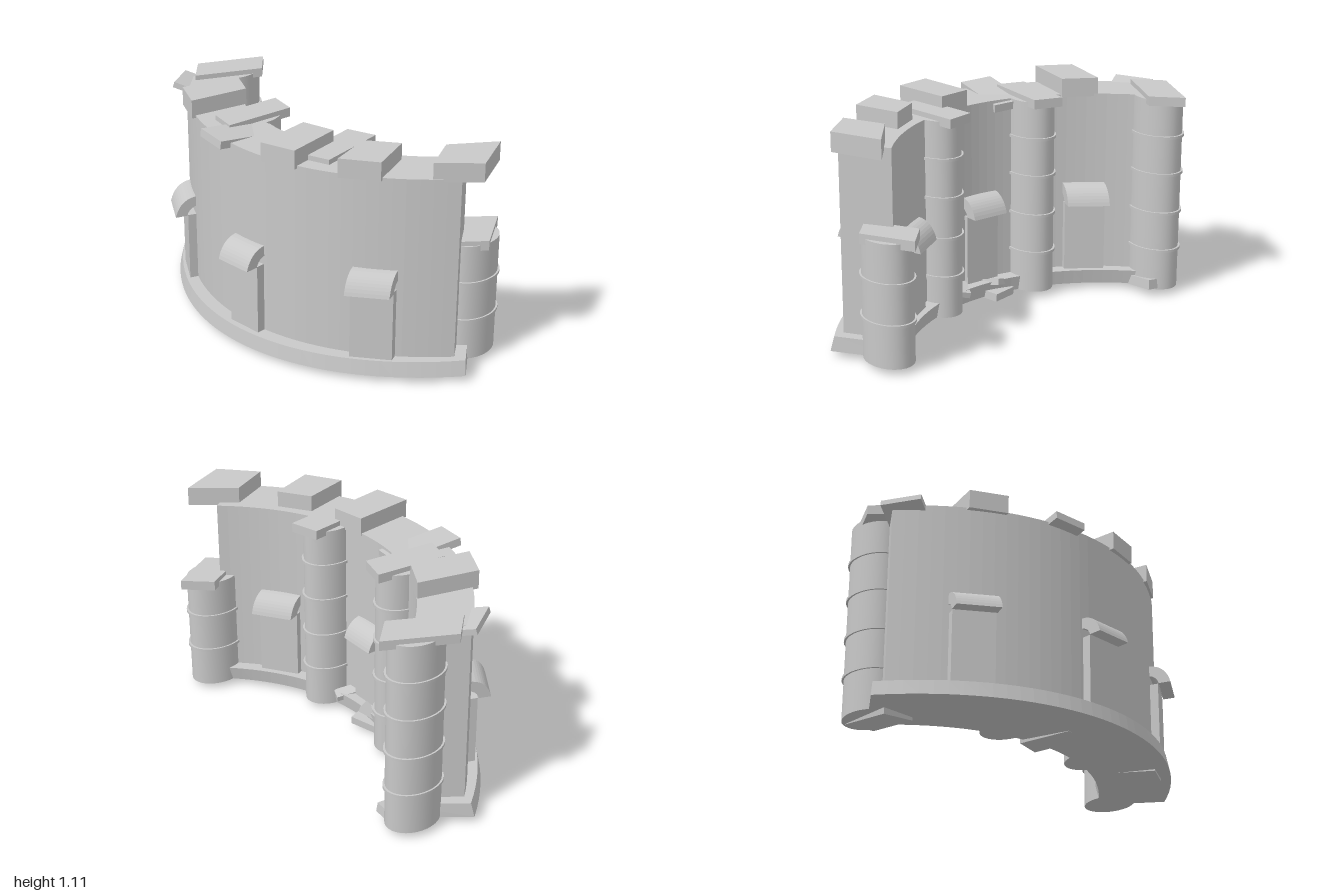
import * as THREE from 'three';

const stone = new THREE.MeshStandardMaterial({ color: 0xc8c8c8 });
stone.name = 'grey stone';

// The plan is an ellipse: every round part is this much narrower along x
const K = 0.76;

// Points of an elliptical arc through (-xEnd, zEnd), (0, zMid), (xEnd, zEnd)
function arcPoints(zMid, xEnd, zEnd, n = 36) {
  const s = zMid - zEnd;
  const c = xEnd / K;
  const r = (c * c + s * s) / (2 * s);
  const a = Math.asin(c / r);
  return Array.from({ length: n + 1 }, (_, i) => {
    const t = -a + (2 * a * i) / n;
    return [K * r * Math.sin(t), zMid - r + r * Math.cos(t)];
  });
}

// Upright prism over an outline of [x, z] points
function prism(points, y0, y1) {
  const shape = new THREE.Shape(points.map(([x, z]) => new THREE.Vector2(x, -z)));
  const geo = new THREE.ExtrudeGeometry(shape, { depth: y1 - y0, bevelEnabled: false });
  return geo.rotateX(-Math.PI / 2).translate(0, y0, 0);
}

function ring(outer, inner, y0, y1) {
  return prism([...arcPoints(...outer), ...arcPoints(...inner).reverse()], y0, y1);
}

function add(parent, name, geo) {
  const mesh = new THREE.Mesh(geo, stone);
  mesh.name = name;
  parent.add(mesh);
  return mesh;
}

// Raised door panel with a curved hood, turned to the wall and narrowed along x
function makeDoor(name, x, z, angle) {
  const door = new THREE.Group();
  add(door, 'doorPanel', new THREE.BoxGeometry(0.25, 0.375, 0.08).translate(0, 0.2775, 0));
  const s = new THREE.Shape();
  s.moveTo(0.11, 0.465);
  s.quadraticCurveTo(0.085, 0.56, -0.01, 0.565);
  s.lineTo(-0.04, 0.565);
  s.lineTo(-0.04, 0.51);
  s.lineTo(0, 0.51);
  s.quadraticCurveTo(0.035, 0.5, 0.045, 0.465);
  s.closePath();
  const hood = new THREE.ExtrudeGeometry(s, { depth: 0.26, bevelEnabled: false, curveSegments: 10 });
  add(door, 'doorHood', hood.translate(0, 0, -0.13).rotateY(-Math.PI / 2));
  door.rotation.y = angle;
  const holder = new THREE.Group();
  holder.name = name;
  holder.position.set(x, 0, z);
  holder.scale.x = K;
  holder.add(door);
  return holder;
}

// Elliptical column with thin bands
function makeColumn(x, z, top, radius) {
  const column = new THREE.Group();
  column.name = 'column';
  column.position.set(x, 0, z);
  column.scale.x = K;
  add(column, 'columnShaft', new THREE.CylinderGeometry(radius, radius, top - 0.03, 32)
    .translate(0, (top + 0.03) / 2, 0));
  for (const y of [0.24, 0.44, 0.645, 0.84]) {
    if (y > top) continue;
    add(column, 'columnBand', new THREE.CylinderGeometry(radius + 0.011, radius + 0.011, 0.014, 32)
      .translate(0, y, 0));
  }
  return column;
}

export function createModel() {
  const model = new THREE.Group();
  model.name = 'ruinedCurvedWall';

  // Wall and its tapered plinth
  add(model, 'wall', ring([0.39, 0.922, -0.065], [0.108, 0.775, -0.28], 0.08, 1.03));
  const plinth = ring([0.475, 0.997, -0.065], [0.045, 0.785, -0.35], 0.03, 0.105);
  const p = plinth.attributes.position;
  for (let i = 0; i < p.count; i++) {
    if (p.getY(i) > 0.07) p.setXYZ(i, p.getX(i) * 0.985, p.getY(i), p.getZ(i) - 0.012);
  }
  plinth.computeVertexNormals();
  add(model, 'plinth', plinth);

  // Doors outside and inside the wall
  for (const side of [-1, 0, 1]) {
    model.add(
      makeDoor('outerDoor', side * 0.635, side ? 0.19 : 0.39, side * 0.48),
      makeDoor('innerDoor', side * 0.535, side ? -0.062 : 0.12, Math.PI + side * 0.48),
    );
  }

  // Columns along the inside; the one at the left end is broken short
  model.add(
    makeColumn(0.82, -0.295, 0.635, 0.145),
    makeColumn(0.287, 0.06, 1.03, 0.138),
    makeColumn(-0.287, 0.06, 1.03, 0.138),
    makeColumn(-0.82, -0.295, 1.03, 0.145),
  );

  // Column caps
  const endCap = [[0.69, -0.37], [0.805, -0.5], [0.945, -0.26], [0.83, -0.13]];
  const tallCap = [[-0.69, -0.37], [-0.815, -0.5], [-0.98, -0.18], [-0.855, -0.05]];
  const midCap = [[0.34, -0.125], [0.195, -0.085], [0.24, 0.28], [0.385, 0.24]];
  add(model, 'shortColumnCap', prism(endCap, 0.608, 0.658));
  add(model, 'tallColumnCap', prism(tallCap, 1.008, 1.055));
  for (const side of [-1, 1]) {
    add(model, 'middleColumnCap', prism(midCap.map(([x, z]) => [side * x, z]), 1.008, 1.055));
  }

  // Battlement blocks still standing
  const merlons = [
    [[-0.67, 0.2], [-0.59, -0.1], [-0.43, -0.01], [-0.5, 0.29]],
    [[0.08, 0.1], [0.25, 0.07], [0.29, 0.37], [0.11, 0.41]],
    [[0.43, 0.06], [0.58, -0.04], [0.66, 0.19], [0.49, 0.295]],
    [[0.735, -0.17], [0.89, -0.375], [0.998, -0.13], [0.83, 0.03]],
  ];
  for (const m of merlons) add(model, 'merlon', prism(m, 1.017, 1.112));

  // Fallen slabs: size, position, rotation
  const slabs = [
    ['fallenMerlon', [0.17, 0.04, 0.36], [-0.19, 1.017, 0.25], [-0.11, -0.14, -0.08]],
    ['fallenMerlon', [0.16, 0.03, 0.2], [-0.86, 1.012, -0.04], [-0.05, 0.55, -0.25]],
    ['rubble', [0.17, 0.05, 0.28], [-0.78, 0.046, -0.27], [0.1, 0, 0.09]],
    ['rubble', [0.15, 0.04, 0.26], [-0.04, 0.044, 0.12], [-0.06, 0.3, 0.06]],
    ['rubble', [0.14, 0.04, 0.24], [0.6, 0.044, 0.08], [0.05, 0.5, -0.06]],
    ['rubble', [0.1, 0.03, 0.09], [-0.06, 0.09, 0.06], [0.2, 0.5, 0.2]],
    ['rubble', [0.06, 0.03, 0.14], [0.14, 0.1, 0.07], [-0.2, -0.4, 0.15]],
  ];
  for (const [name, size, pos, rot] of slabs) {
    const slab = add(model, name, new THREE.BoxGeometry(...size));
    slab.position.set(...pos);
    slab.rotation.set(...rot);
  }
  return model;
}
